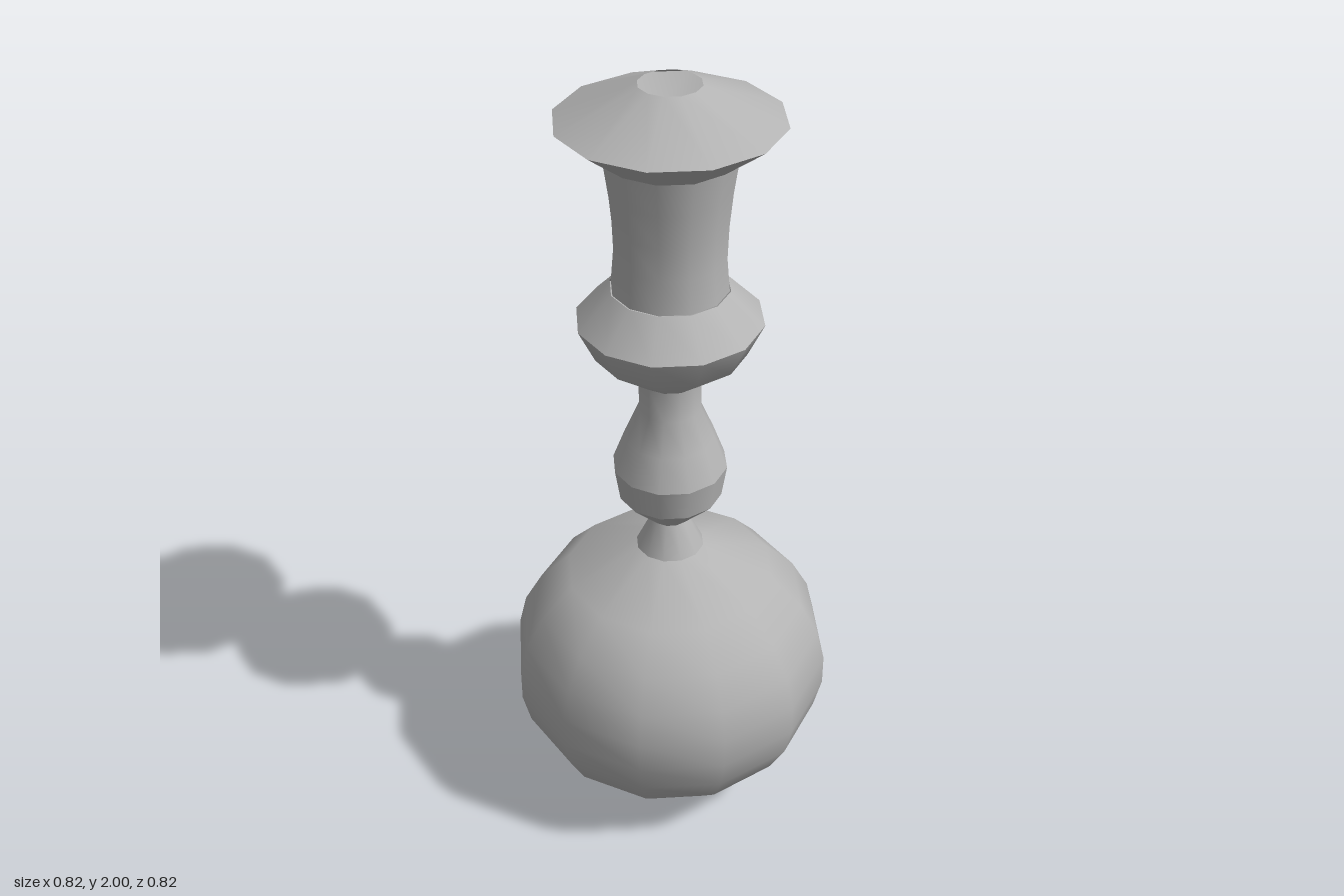
import * as THREE from 'three';

// Turned, hollow spindle: each part is a smooth 12-sided lathe, sharp where parts meet.
const SIDES = 12;
const STEP = 1 / 12; // height between profile rings

// name, ring number at the bottom, radii going up
const PARTS = [
  ['bulb', 0, [0.073, 0.265, 0.345, 0.391, 0.411, 0.411, 0.391, 0.345, 0.265, 0.086]],
  ['bulbNeck', 9, [0.086, 0.047]],
  ['lowerCup', 10, [0.047, 0.13]],
  ['lowerBand', 11, [0.13, 0.143]],
  ['taperedStem', 12, [0.143, 0.112, 0.077, 0.077]],
  ['collarUnderside', 15, [0.077, 0.185, 0.225]],
  ['collarTop', 17, [0.225, 0.143]],
  ['column', 18, [0.14, 0.133, 0.136, 0.144, 0.156]],
  ['capUnderside', 22, [0.156, 0.264]],
  ['capTop', 23, [0.264, 0.073]],
];

export function createModel() {
  const model = new THREE.Group();
  model.name = 'spindle';
  // open at both ends, so the inside shows too
  const grey = new THREE.MeshStandardMaterial({ color: 0xb4b4b4, side: THREE.DoubleSide });
  grey.name = 'grey';

  for (const [name, firstRing, radii] of PARTS) {
    const profile = radii.map((r, i) => new THREE.Vector2(r, (firstRing + i) * STEP));
    const mesh = new THREE.Mesh(new THREE.LatheGeometry(profile, SIDES), grey);
    mesh.name = name;
    model.add(mesh);
  }
  return model;
}
